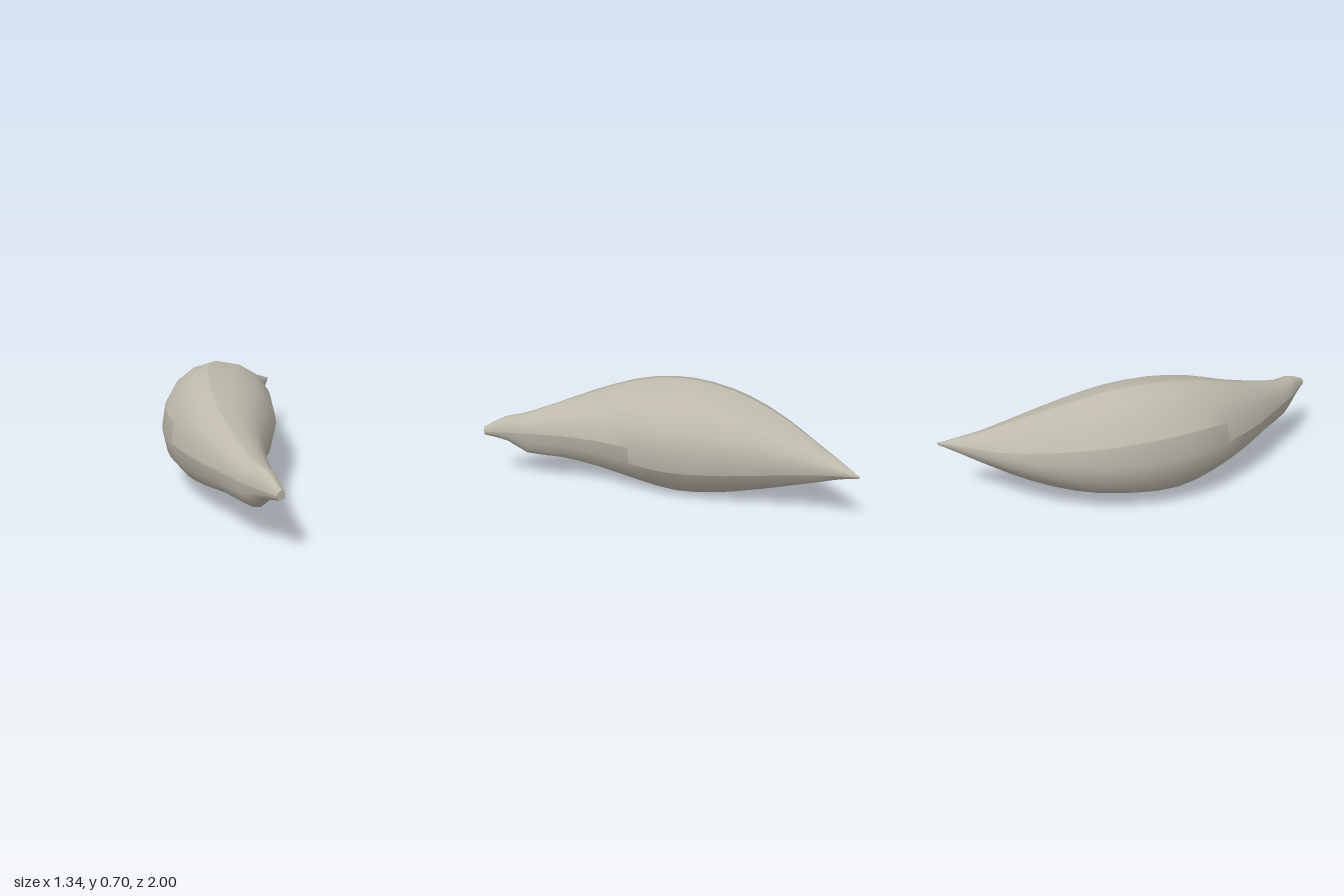
import * as THREE from 'three';

// Stations from the open front end to the pointed tail:
// outer edge x,z | ridge x,z | inner edge x,z | top y | bottom y
const stations = [
  [-0.60, 1.00, -0.575, 1.00, -0.55, 1.00, 0.38, 0.33],
  [-0.625, 0.86, -0.565, 0.86, -0.50, 0.86, 0.44, 0.28],
  [-0.645, 0.74, -0.56, 0.74, -0.45, 0.74, 0.45, 0.193],
  [-0.66, 0.50, -0.535, 0.52, -0.36, 0.55, 0.51, 0.165],
  [-0.67, 0.30, -0.49, 0.28, -0.22, 0.34, 0.585, 0.11],
  [-0.645, 0.00, -0.405, 0.03, -0.075, 0.18, 0.665, 0.045],
  [-0.58, -0.24, -0.28, -0.21, 0.07, 0.00, 0.70, 0.003],
  [-0.45, -0.47, -0.13, -0.41, 0.20, -0.22, 0.685, 0.03],
  [-0.27, -0.66, 0.03, -0.59, 0.30, -0.42, 0.63, 0.085],
  [-0.03, -0.81, 0.235, -0.755, 0.40, -0.62, 0.54, 0.165],
  [0.23, -0.91, 0.43, -0.875, 0.52, -0.82, 0.445, 0.25],
  [0.45, -0.955, 0.55, -0.94, 0.59, -0.90, 0.40, 0.30],
  [0.665, -1.00, 0.667, -1.00, 0.67, -0.998, 0.352, 0.345],
];
const ROWS = 24, SIDES = 16, MID_Y = 0.355, STEP_ROW = 10;

export function createModel() {
  const group = new THREE.Group();
  group.name = 'curvedPod';
  const shell = new THREE.MeshStandardMaterial({ color: 0xbdb8ab });
  shell.name = 'stone grey';

  // Smooth guide curves through the stations
  const track = (f) => new THREE.CatmullRomCurve3(stations.map((s) => new THREE.Vector3(...f(s))));
  const outer = track((s) => [s[0], 0, s[1]]);
  const ridge = track((s) => [s[2], 0, s[3]]);
  const inner = track((s) => [s[4], 0, s[5]]);
  const heights = track((s) => [s[6], s[7], s[3]]);

  // Rings of half ellipses: top, inner edge, bottom, outer edge, top
  const positions = [];
  for (let j = 0; j <= ROWS; j++) {
    const t = j / ROWS;
    const r = ridge.getPoint(t), h = heights.getPoint(t);
    // The keel lies further towards the inner side than the ridge
    const keelShift = 0.15 * Math.sin(Math.PI * t) ** 2;
    for (let k = 0; k <= SIDES; k++) {
      const a = (k / SIDES) * Math.PI * 2, s = Math.sin(a), c = Math.cos(a);
      const edge = (k <= SIDES / 2 ? inner : outer).getPoint(t);
      const p = r.clone();
      p.x += keelShift * Math.max(0, -c);
      p.lerp(edge, Math.abs(s));
      p.y = MID_Y + c * (c > 0 ? h.x - MID_Y : MID_Y - h.y);
      positions.push(p.x, p.y, p.z);
    }
  }

  // Each panel is smooth inside and creased along its borders
  const addPanel = (name, includes) => {
    const index = [];
    for (let j = 0; j < ROWS; j++) {
      for (let k = 0; k < SIDES; k++) {
        if (!includes(j, k)) continue;
        const a = j * (SIDES + 1) + k, d = a + SIDES + 1;
        index.push(a, a + 1, d + 1, a, d + 1, d);
      }
    }
    const geo = new THREE.BufferGeometry();
    geo.setAttribute('position', new THREE.Float32BufferAttribute(positions, 3));
    geo.setIndex(index);
    geo.computeVertexNormals();
    const mesh = new THREE.Mesh(geo, shell);
    mesh.name = name;
    group.add(mesh);
  };
  const innerUpper = (j, k) => k < 4 || (k === 4 && j >= STEP_ROW);
  const outerUpper = (j, k) => k >= 13 || (k === 12 && j < STEP_ROW);
  addPanel('innerUpperPanel', (j, k) => k < 8 && innerUpper(j, k));
  addPanel('innerLowerPanel', (j, k) => k < 8 && !innerUpper(j, k));
  addPanel('outerUpperPanel', (j, k) => k >= 8 && outerUpper(j, k));
  addPanel('outerLowerPanel', (j, k) => k >= 8 && !outerUpper(j, k));

  // Small flat cap on the front end
  const cap = new THREE.Mesh(new THREE.CircleGeometry(0.025, SIDES), shell);
  cap.name = 'frontCap';
  cap.position.set(-0.575, MID_Y, 1);
  group.add(cap);

  return group;
}
